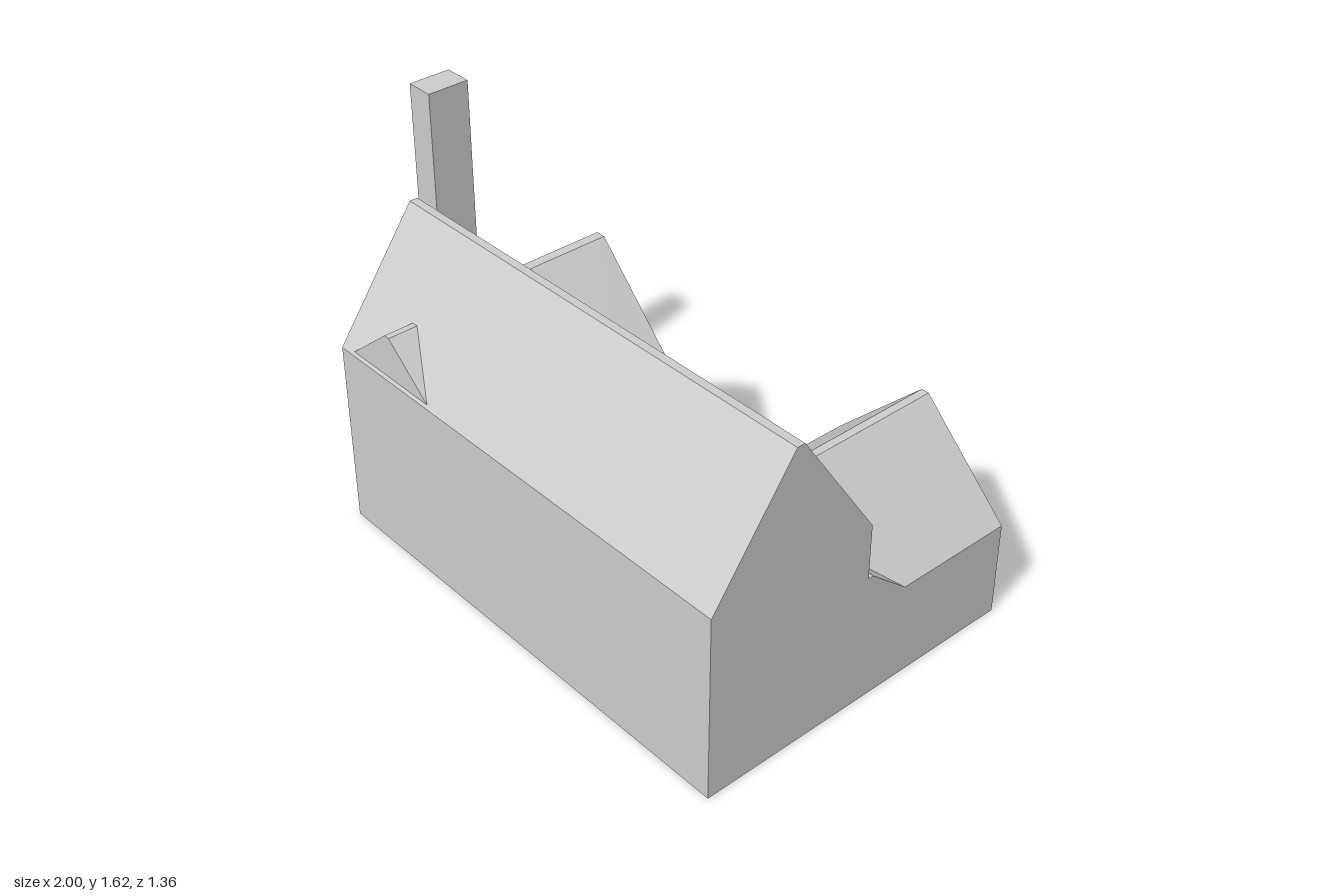
import * as THREE from 'three';

const material = new THREE.MeshStandardMaterial({ color: 0xcccccc, flatShading: true });

// Extrudes a 2D outline along z from z0 to z1.
function prism(name, points, z0, z1) {
  const shape = new THREE.Shape(points.map(([x, y]) => new THREE.Vector2(x, y)));
  const geometry = new THREE.ExtrudeGeometry(shape, { depth: z1 - z0, bevelEnabled: false });
  geometry.translate(0, 0, z0);
  const mesh = new THREE.Mesh(geometry, material);
  mesh.name = name;
  return mesh;
}

// Extrudes a (z, y) outline along x from x0 to x1.
function crossPrism(name, points, x0, x1) {
  const mesh = prism(name, points.map(([z, y]) => [-z, y]), x0, x1);
  mesh.geometry.rotateY(Math.PI / 2);
  return mesh;
}

// Gable outline with a narrow flat ridge.
function gable(left, right, eave, ridgeLeft, ridgeRight, ridge) {
  return [[left, eave], [right, eave], [ridgeRight, ridge], [ridgeLeft, ridge]];
}

export function createModel() {
  const house = new THREE.Group();
  house.name = 'house';

  // Main block with its pitched roof
  house.add(crossPrism('mainBlock',
    [[-0.01, 0], [0.68, 0], [0.68, 0.75], [0.347, 1.22], [0.315, 1.22], [-0.01, 0.74]], -0.93, 1));

  // Low lean-to along the back
  house.add(crossPrism('leanTo',
    [[-0.195, 0], [0, 0], [0, 0.52], [-0.032, 0.52], [-0.195, 0.38]], -0.93, 1));

  // Gabled wing at the back
  house.add(prism('rearWing',
    [[0.225, 0], [1, 0], [1, 0.38], [0.627, 0.74], [0.595, 0.74], [0.225, 0.38]], -0.68, -0.012));

  // Dormers
  house.add(prism('frontDormer', gable(-0.865, -0.43, 0.76, -0.66, -0.635, 0.93), 0.5, 0.672));
  house.add(prism('smallRearDormer', gable(-0.865, -0.43, 0.745, -0.66, -0.625, 0.925), -0.012, 0.14));
  house.add(prism('largeRearDormer', gable(-0.785, 0.15, 0.745, -0.337, -0.3, 1.215), -0.012, 0.315));

  // Chimney standing against the end wall
  const chimney = new THREE.Mesh(new THREE.BoxGeometry(0.11, 1.62, 0.165), material);
  chimney.position.set(-0.945, 0.81, 0.18);
  chimney.name = 'chimney';
  house.add(chimney);

  return house;
}
